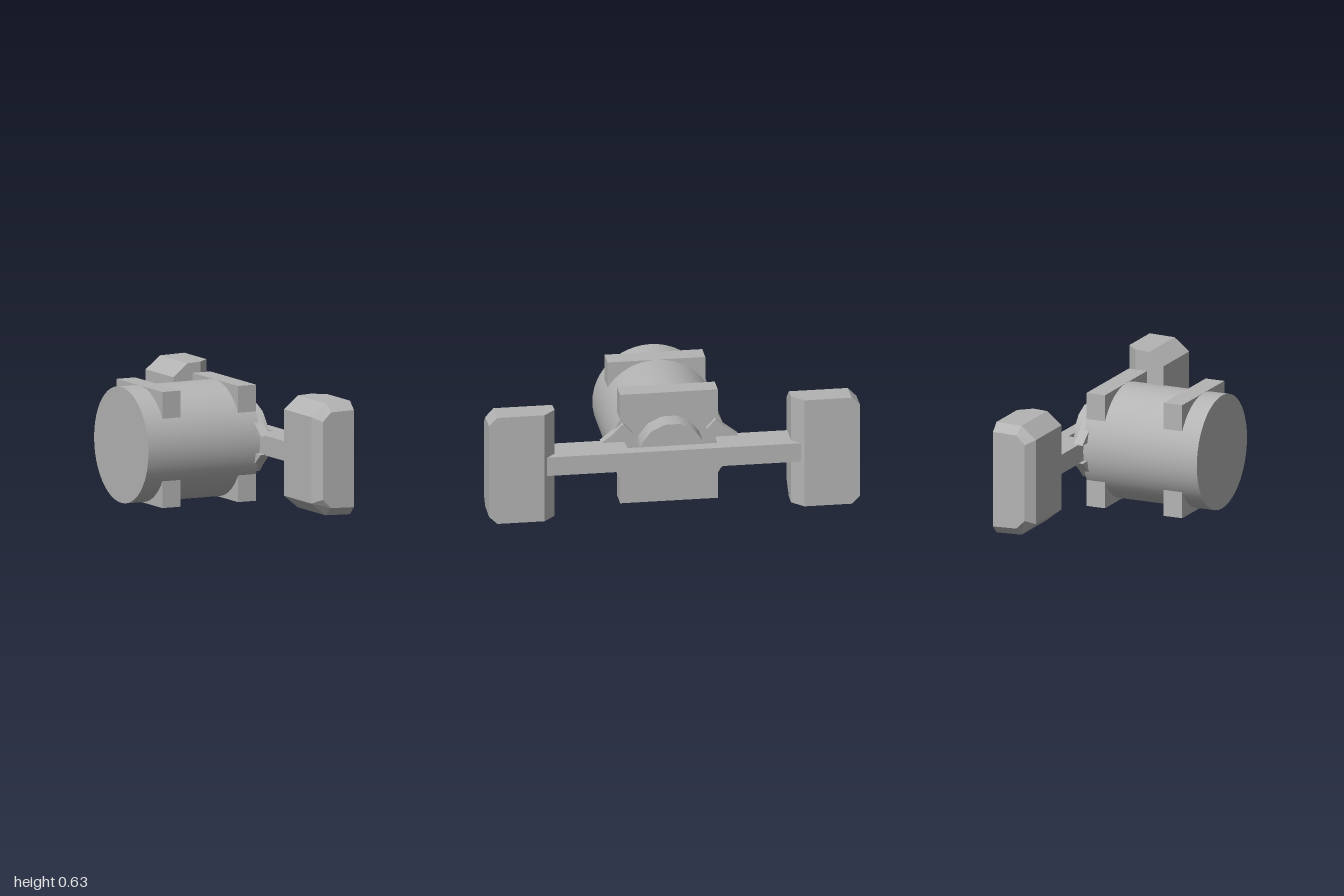
import * as THREE from 'three';

const MID = 0.3175; // height of the main axis

export function createModel() {
  const model = new THREE.Group();
  model.name = 'podCraft';
  const grey = new THREE.MeshStandardMaterial({ color: 0xb4b4b4 });
  grey.name = 'grey';

  const add = (name, geometry) => {
    const mesh = new THREE.Mesh(geometry, grey);
    mesh.name = name;
    mesh.position.y = MID;
    model.add(mesh);
    return mesh;
  };
  const shapeOf = (points) => new THREE.Shape(points.map(([a, b]) => new THREE.Vector2(a, b)));

  // Cylinder lying along x between two ends
  const drum = (name, radius, x0, x1, sides) => {
    const g = new THREE.CylinderGeometry(radius, radius, x1 - x0, sides);
    g.rotateZ(-Math.PI / 2).translate((x0 + x1) / 2, 0, 0);
    return add(name, g);
  };
  drum('hull', 0.313, -0.44, 0.232, 48);
  drum('hub', 0.18, 0.22, 0.352, 14);

  // Square collars around the hull
  for (const [name, x0, x1] of [['rearCollar', -0.33, -0.22], ['frontCollar', 0.125, 0.234]]) {
    add(name, new THREE.BoxGeometry(x1 - x0, 0.626, 0.526).translate((x0 + x1) / 2, 0, 0));
  }

  // Crossbar, notched in the middle to clear the hub
  const bar = shapeOf([
    [0.42, -0.69], [0.42, 0.69], [0.23, 0.69], [0.23, 0.26], [0.262, 0.245], [0.35, 0.24],
    [0.35, -0.24], [0.262, -0.245], [0.23, -0.26], [0.23, -0.69],
  ]);
  const barGeometry = new THREE.ExtrudeGeometry(bar, { depth: 0.106, bevelEnabled: false });
  add('crossbar', barGeometry.rotateX(-Math.PI / 2).translate(0, -0.053, 0));

  // Four pointed gussets where the crossbar meets the hull
  const fin = [[0.24, 0.05], [0.2, 0.1], [0.25, 0.155], [0.3, 0.105], [0.37, 0.05]];
  for (const sz of [-1, 1]) {
    for (const sy of [-1, 1]) {
      const shape = shapeOf(fin.map(([z, y]) => [z * sz, y * sy]));
      const g = new THREE.ExtrudeGeometry(shape, { depth: 0.055, bevelEnabled: false });
      add('gusset', g.rotateY(Math.PI / 2).translate(0.207, 0, 0));
    }
  }

  // Chamfered pods, the second one turned half round the main axis
  for (const [name, turn] of [['leftPod', 0], ['rightPod', Math.PI]]) {
    add(name, podGeometry()).rotation.x = turn;
  }
  return model;
}

// Joins four six-sided sections along z
function podGeometry() {
  // z, front x, back x, shoulder x, half height, shoulder half height
  const sections = [
    [0.637, 0.37, 0.205, 0.29, 0.306, 0.233],
    [0.7, 0.437, 0.205, 0.29, 0.306, 0.233],
    [0.955, 0.437, 0.205, 0.29, 0.306, 0.233],
    [1.0, 0.437, 0.25, 0.3, 0.262, 0.21],
  ];
  const rings = sections.map(([z, front, back, mid, h, s]) => [
    [front, -h, z], [front, h, z], [mid, h - 0.004, z],
    [back, s, z], [back, -s, z], [mid, -h + 0.004, z],
  ]);
  const out = [];
  const tri = (a, b, c) => out.push(...a, ...b, ...c);
  for (let r = 0; r < 3; r++) {
    for (let i = 0; i < 6; i++) {
      const j = (i + 1) % 6;
      const [a, b, c, d] = [rings[r][i], rings[r][j], rings[r + 1][j], rings[r + 1][i]];
      tri(a, b, c);
      tri(a, c, d);
    }
  }
  for (let i = 1; i < 5; i++) {
    tri(rings[0][0], rings[0][i + 1], rings[0][i]);
    tri(rings[3][0], rings[3][i], rings[3][i + 1]);
  }
  const g = new THREE.BufferGeometry();
  g.setAttribute('position', new THREE.Float32BufferAttribute(out, 3));
  g.computeVertexNormals();
  return g;
}
